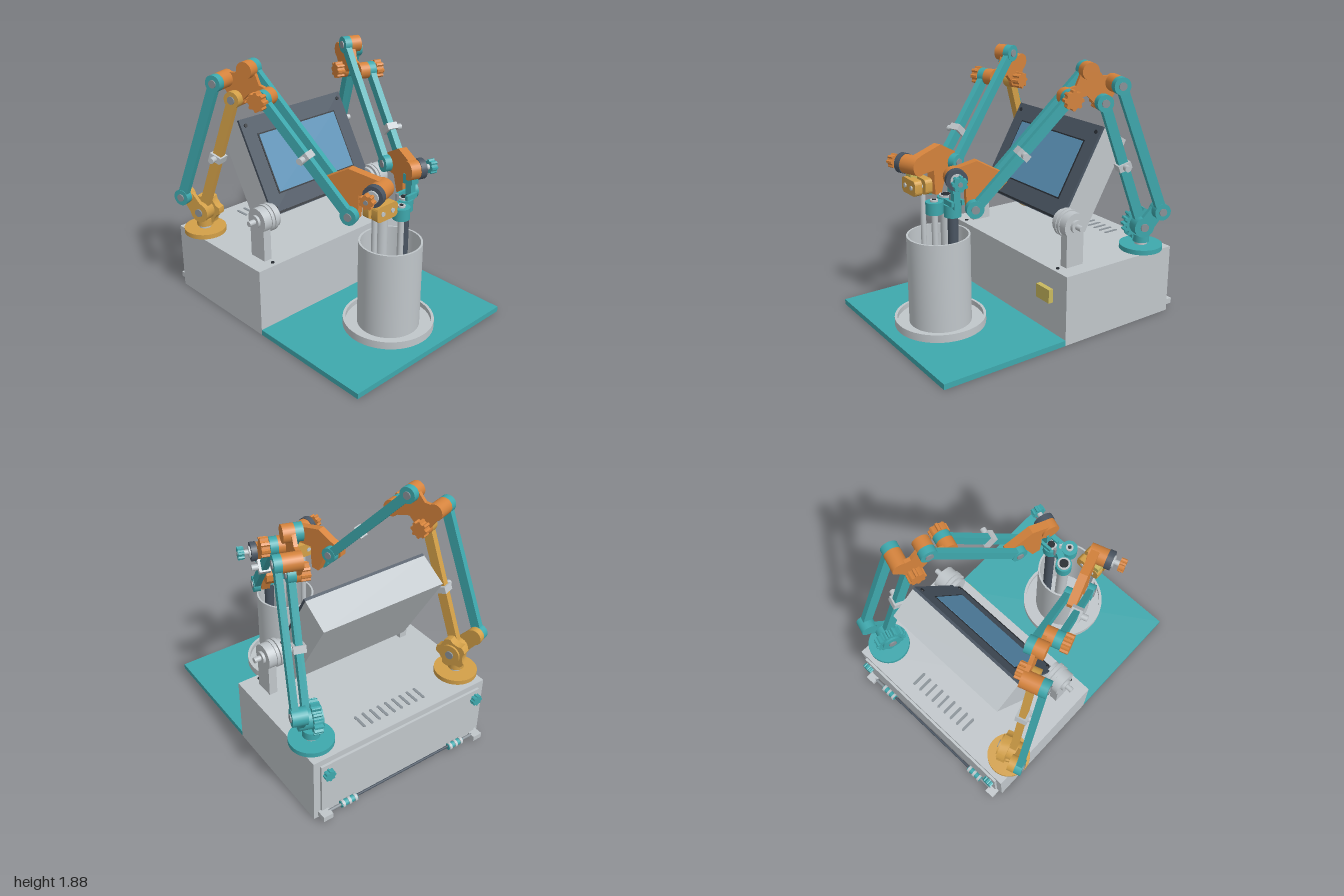
import * as THREE from 'three';
import { toCreasedNormals } from 'three/addons/utils/BufferGeometryUtils.js';

const mat = (name, color) => {
  const m = new THREE.MeshStandardMaterial({ color });
  m.name = name;
  return m;
};

export function createModel() {
  const teal = mat('teal', 0x3ea8ad), grey = mat('light grey', 0xc0c6ca), orange = mat('orange', 0xd5833c),
    ochre = mat('ochre', 0xd3a048), yellow = mat('yellow', 0xc9b95f), blue = mat('screen blue', 0x5a90b5),
    slate = mat('slate', 0x4a5562), dark = mat('dark', 0x262b31), steel = mat('steel', 0x8a9298);
  const root = new THREE.Group();
  root.name = 'twoArmLabStation';

  const add = (parent, name, geo, material, x = 0, y = 0, z = 0) => {
    const m = new THREE.Mesh(geo, material);
    m.name = name;
    m.position.set(x, y, z);
    parent.add(m);
    return m;
  };
  const box = (parent, name, material, w, h, d, x, y, z) =>
    add(parent, name, new THREE.BoxGeometry(w, h, d), material, x, y, z);
  // upright cylinder between two heights
  const post = (parent, name, material, r, y0, y1, x, z, seg = 32) =>
    add(parent, name, new THREE.CylinderGeometry(r, r, y1 - y0, seg), material, x, (y0 + y1) / 2, z);
  // cylinder along x between two x values
  const axle = (parent, name, material, r, x0, x1, y, z, seg = 28) => {
    const g = new THREE.CylinderGeometry(r, r, Math.abs(x1 - x0), seg).rotateZ(Math.PI / 2);
    return add(parent, name, g, material, (x0 + x1) / 2, y, z);
  };
  const extrude = (shape, depth) => toCreasedNormals(
    new THREE.ExtrudeGeometry(shape, { depth, bevelEnabled: false, curveSegments: 24 }), 0.6);
  // scalloped hand wheel outline
  const wheelShape = (r, lobes = 8) => {
    const pts = [];
    for (let i = 0; i < lobes * 6; i++) {
      const a = i / (lobes * 6) * Math.PI * 2;
      const rr = r * (0.9 + 0.1 * Math.max(-1, Math.min(1, 1.8 * Math.cos(a * lobes))));
      pts.push(new THREE.Vector2(rr * Math.cos(a), rr * Math.sin(a)));
    }
    return new THREE.Shape(pts);
  };
  const lathe = (pts) => toCreasedNormals(
    new THREE.LatheGeometry(pts.map(p => new THREE.Vector2(...p)), 56), 0.6);

  // base plate and cabinet
  box(root, 'basePlate', teal, 1.46, 0.04, 0.96, 0, 0.02, 0.52);
  box(root, 'cabinet', grey, 1.46, 0.51, 0.96, 0, 0.255, -0.44);
  box(root, 'frontLabelPlate', yellow, 0.145, 0.1, 0.038, 0.512, 0.32, 0.058);
  for (let i = 0; i < 9; i++) {
    const slot = new THREE.Shape();
    slot.absarc(0, 0.05, 0.01, 0, Math.PI).absarc(0, -0.05, 0.01, Math.PI, Math.PI * 2);
    add(root, 'ventSlot', extrude(slot, 0.004).rotateX(-Math.PI / 2), steel, -0.256 + i * 0.064, 0.51, -0.77);
  }

  // rear service panel with thumb screws and hinges
  box(root, 'rearPanel', grey, 1.36, 0.42, 0.018, 0, 0.255, -0.929);
  axle(root, 'hingeRod', slate, 0.009, -0.45, 0.45, 0.06, -0.955, 12);
  for (const s of [-1, 1]) {
    add(root, 'panelThumbScrew', extrude(wheelShape(0.042), 0.035), teal, s * 0.635, 0.4, -0.98);
    add(root, 'panelScrewShaft', new THREE.CylinderGeometry(0.018, 0.018, 0.04, 16).rotateX(Math.PI / 2), steel, s * 0.635, 0.4, -0.945);
    axle(root, 'hingeBarrel', teal, 0.024, s * 0.41, s * 0.54, 0.055, -0.957, 16);
    for (const x of [0.425, 0.475, 0.525]) axle(root, 'hingeCollar', grey, 0.029, s * (x - 0.01), s * (x + 0.01), 0.055, -0.957, 16);
    axle(root, 'hingePin', steel, 0.011, s * 0.53, s * 0.64, 0.055, -0.957, 12);
    box(root, 'hingeBlock', grey, 0.075, 0.04, 0.07, s * 0.665, 0.045, -0.962);
  }

  // tilted display
  const display = new THREE.Group();
  display.name = 'display';
  display.position.set(0, 0.8, -0.095);
  display.rotation.x = -Math.PI / 6;
  root.add(display);
  box(display, 'displayBody', grey, 0.96, 0.715, 0.235, 0, 0.3575, -0.1375);
  box(display, 'displayBezel', slate, 0.96, 0.715, 0.02, 0, 0.3575, -0.01);
  box(display, 'screenFrame', dark, 0.74, 0.45, 0.004, 0, 0.362, 0.002);
  box(display, 'screen', blue, 0.72, 0.43, 0.006, 0, 0.362, 0.004);
  box(display, 'bezelFoot', dark, 0.96, 0.015, 0.004, 0, 0.012, 0.002);
  for (const sx of [-1, 1]) for (const y of [0.05, 0.665])
    add(display, 'bezelScrew', new THREE.CylinderGeometry(0.014, 0.014, 0.008, 12).rotateX(Math.PI / 2), dark, sx * 0.44, y, 0.004);

  // display stands with tilt clamps
  for (const s of [-1, 1]) {
    box(root, 'standPost', grey, 0.062, 0.3, 0.145, s * 0.58, 0.66, -0.122);
    axle(root, 'standHead', grey, 0.092, s * 0.549, s * 0.611, 0.8, -0.122);
    axle(root, 'tiltShaft', steel, 0.03, s * 0.44, s * 0.54, 0.8, -0.122);
    for (const [x, r] of [[0.475, 0.085], [0.505, 0.1], [0.537, 0.1]])
      axle(root, 'tiltDisc', grey, r, s * (x - 0.012), s * (x + 0.012), 0.8, -0.122);
    axle(root, 'tiltCap', grey, 0.045, s * 0.61, s * 0.63, 0.8, -0.122);
    axle(root, 'tiltHandle', grey, 0.02, s * 0.62, s * 0.68, 0.8, -0.122, 16);
    post(root, 'footScrew', dark, 0.013, 0.51, 0.517, s * 0.58, 0.0, 12);
  }

  // tray and open drum
  const cx = -0.012, cz = 0.585;
  add(root, 'tray', lathe([[0, 0.04], [0.325, 0.04], [0.325, 0.097], [0.305, 0.097], [0.305, 0.06], [0, 0.06]]), grey, cx, 0, cz);
  add(root, 'drum', lathe([[0, 0.06], [0.222, 0.06], [0.222, 0.705], [0.208, 0.705], [0.208, 0.1], [0, 0.1]]), grey, cx, 0, cz);

  // tool holder and tubes standing in the drum
  const tubes = [[-0.025, 0.51, 0.042, grey], [0.03, 0.635, 0.022, grey], [0.145, 0.56, 0.036, slate]];
  for (const [x, z, r, m] of tubes) {
    post(root, 'tube', m, r, 0.1, 0.96, x, z);
    post(root, 'holderCup', teal, 0.06, 0.88, 0.965, x, z);
    post(root, 'tubeLip', grey, r + 0.006, 0.965, 0.978, x, z);
    post(root, 'tubeMouth', dark, r - 0.008, 0.978, 0.981, x, z);
    const dx = x - 0.06, dz = z - 0.56;
    const arm = box(root, 'holderWeb', teal, Math.hypot(dx, dz), 0.08, 0.05, x - dx / 2, 0.92, z - dz / 2);
    arm.rotation.y = Math.atan2(-dz, dx);
  }
  post(root, 'holderPin', steel, 0.012, 0.92, 1.01, 0.09, 0.54, 12);

  // one jointed arm; local x runs toward the tool, w is measured outward
  const buildArm = (name, s, baseX, main, wristU, wo, wheel) => {
    const arm = new THREE.Group();
    arm.name = name;
    arm.position.set(baseX, 0, -0.73);
    arm.rotation.y = Math.atan2(-0.95, -s * 0.31);
    root.add(arm);
    const side = -s;
    const slab = (n, shape, m, w0, w1, u = 0, y = 0) =>
      add(arm, n, extrude(shape, w1 - w0), m, u, y, Math.min(side * w0, side * w1));
    const peg = (n, m, r, p, w0, w1) =>
      add(arm, n, new THREE.CylinderGeometry(r, r, w1 - w0, 24).rotateX(Math.PI / 2), m, p[0], p[1], side * (w0 + w1) / 2);
    const poly = pts => new THREE.Shape(pts.map(p => new THREE.Vector2(...p)));
    // bar with an eye and a pivot cap at each end
    const link = (n, m, p, q, w0, w1) => {
      const len = Math.hypot(q[0] - p[0], q[1] - p[1]);
      const bar = box(arm, n, m, len, 0.07, w1 - w0 - 0.008, (p[0] + q[0]) / 2, (p[1] + q[1]) / 2, side * (w0 + w1) / 2);
      bar.rotation.z = Math.atan2(q[1] - p[1], q[0] - p[0]);
      for (const e of [p, q]) {
        peg(n + 'Eye', m, 0.06, e, w0, w1);
        peg(n + 'Pivot', steel, 0.028, e, w0 - 0.008, w1 + 0.008);
      }
    };
    // collar around a bar, with a small screw
    const collar = (p, q, w0, w1) => {
      const mid = [(p[0] + q[0]) / 2, (p[1] + q[1]) / 2];
      const c = box(arm, 'linkCollar', grey, 0.05, 0.095, w1 - w0 + 0.03, mid[0], mid[1], side * (w0 + w1) / 2);
      c.rotation.z = Math.atan2(q[1] - p[1], q[0] - p[0]);
      peg('collarScrew', grey, 0.022, mid, w1, w1 + 0.06);
    };
    const S = [0.02, 0.695], R = [-0.085, 0.82], A = [0.447, 1.82], B = [0.263, 1.73],
      C = [0.337, 1.6], D = [0.6, 1.655], E = [1.253, 0.957], F = [1.095, 1.12], W = [wristU, 1.165];

    // turntable and shoulder
    post(arm, 'turntable', main, 0.155, 0.51, 0.545, 0, 0, 48);
    post(arm, 'turntableNeck', grey, 0.045, 0.545, 0.57, 0, 0);
    post(arm, 'shoulderNeck', main, 0.06, 0.565, 0.62, 0, 0);
    slab('shoulderWheel', wheelShape(0.118, s > 0 ? 16 : 5), main, -0.06, 0.0, ...S);
    peg('shoulderHub', main, 0.075, S, -0.075, 0.09);
    peg('shoulderPin', steel, 0.03, S, -0.085, 0.1);
    slab('shoulderCrank', poly([[0.075, 0.72], [-0.035, 0.85], [-0.13, 0.79], [-0.03, 0.655]]), main, 0.06, 0.09);
    peg('crankEye', main, 0.06, R, 0.05, 0.1);

    // lower parallel links
    link('lowerArm', main, S, C, 0.0, 0.055);
    link('lowerRearLink', teal, R, B, 0.1, 0.152);
    collar(S, C, 0.0, 0.055);

    // elbow crank
    slab('elbowCrank', poly([[0.47, 1.87], [0.4, 1.85], [0.34, 1.78], [0.24, 1.775], [0.235, 1.68], [0.31, 1.57],
      [0.37, 1.57], [0.45, 1.65], [0.59, 1.61], [0.63, 1.69], [0.53, 1.72]]), orange, -0.028, 0.0);
    for (const [p, w1] of [[A, 0.05], [B, 0.1], [C, 0.0], [D, 0.045]]) peg('elbowBoss', orange, 0.06, p, -0.028, w1);
    slab('elbowWheel', wheelShape(0.068), orange, 0.1, 0.155, ...D);
    slab('elbowInnerWheel', wheelShape(0.062), orange, -0.09, -0.03, ...C);

    // forearm parallel links
    link('upperForearm', teal, A, F, -0.08, -0.028);
    link('lowerForearm', teal, D, E, 0.045, 0.097);
    collar(D, E, 0.045, 0.097);

    // wrist bracket, drum and clamp wheel
    const tip = W[0];
    slab('wristBracket', poly([[1.224, 1.273], [1.02, 1.16], [1.02, 1.11], [1.07, 1.06], [1.17, 1.06], [1.23, 0.91],
      [1.29, 0.92], [1.3, 1.02], [1.3, 1.1], [tip, 1.1], [tip, 1.23]]), orange, -0.028, 0.035);
    peg('wristBoss', orange, 0.068, W, -0.04, 0.035 + wo);
    peg('wristDrum', slate, 0.073, W, 0.035 + wo, 0.08 + wo);
    peg('wristFace', grey, 0.045, W, 0.08 + wo, 0.092 + wo);
    peg('wristShaft', grey, 0.02, W, 0.09 + wo, 0.15 + wo);
    slab('wristWheel', wheelShape(0.052, 7), wheel, 0.13 + wo, 0.175 + wo, ...W);
    peg('wheelCap', steel, 0.016, W, 0.17 + wo, 0.18 + wo);
  };
  buildArm('leftArm', 1, 0.62, teal, 1.37, 0, teal);
  buildArm('rightArm', -1, -0.63, ochre, 1.45, 0.06, orange);

  // left tool: narrow teal finger holding the dark tube
  box(root, 'fingerBlock', teal, 0.07, 0.07, 0.08, 0.195, 1.1, 0.565);
  box(root, 'fingerStem', teal, 0.045, 0.17, 0.05, 0.195, 1.03, 0.565);
  for (const dz of [-0.04, 0.04]) box(root, 'fingerJaw', teal, 0.1, 0.035, 0.02, 0.165, 0.985, 0.56 + dz);

  // right tool: padded gripper holding a thin rod
  const pad = new THREE.Shape();
  pad.absarc(0.065, 0.025, 0.03, 0, Math.PI / 2).absarc(-0.065, 0.025, 0.03, Math.PI / 2, Math.PI)
    .absarc(-0.065, -0.025, 0.03, Math.PI, Math.PI * 1.5).absarc(0.065, -0.025, 0.03, Math.PI * 1.5, Math.PI * 2);
  for (const z of [0.575, 0.655]) add(root, 'gripperPad', extrude(pad, 0.055), ochre, -0.187, 1.025, z);
  box(root, 'gripperStem', yellow, 0.07, 0.08, 0.1, -0.24, 1.09, 0.63);
  for (const dx of [-0.045, 0.045])
    add(root, 'gripperBolt', new THREE.CylinderGeometry(0.017, 0.017, 0.15, 6).rotateX(Math.PI / 2), grey, -0.187 + dx, 1.025, 0.643);
  post(root, 'heldRod', grey, 0.02, 0.2, 1.0, -0.192, 0.6, 20);
  return root;
}
